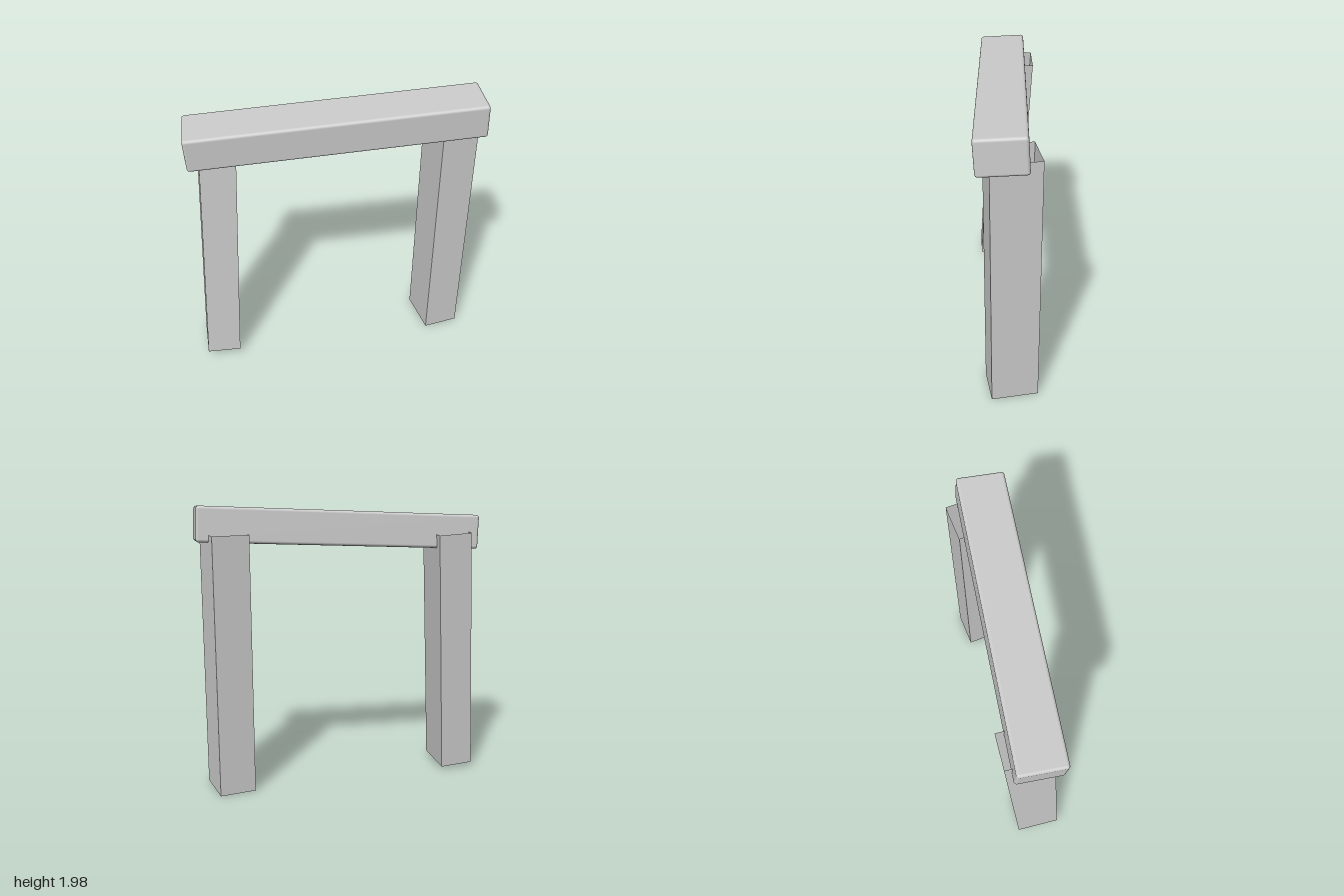
import * as THREE from 'three';
import { RoundedBoxGeometry } from 'three/addons/geometries/RoundedBoxGeometry.js';

const solid = new THREE.MeshStandardMaterial({ color: 0xcccccc });
const thin = new THREE.MeshStandardMaterial({ color: 0xcccccc, side: THREE.DoubleSide });

// Box with its top and bottom left open
function openTube(width, height, depth) {
  const geometry = new THREE.BoxGeometry(width, height, depth);
  const index = Array.from(geometry.index.array);
  geometry.setIndex([...index.slice(0, 12), ...index.slice(24)]);
  geometry.clearGroups();
  return geometry;
}

function part(name, geometry, material, position, rotation) {
  const mesh = new THREE.Mesh(geometry, material);
  mesh.name = name;
  mesh.position.set(...position);
  mesh.rotation.set(...rotation);
  return mesh;
}

export function createModel() {
  const group = new THREE.Group();
  group.name = 'postAndLintel';

  // Skewed lintel with softened edges
  group.add(part('lintel', new RoundedBoxGeometry(1.965, 0.237, 0.318, 3, 0.02), solid,
    [0.002, 1.81, 0.017], [0.055, -0.0434, 0.0485]));

  // Upright post, turned about its own axis
  group.add(part('leftPost', openTube(0.252, 1.79, 0.318), thin,
    [0.798, 0.895, -0.01], [0, 0.14, 0]));

  // Post leaning inwards and back
  group.add(part('rightPost', openTube(0.237, 1.745, 0.31), thin,
    [-0.828, 0.905, -0.035], [-0.052, 0, -0.061]));

  return group;
}
